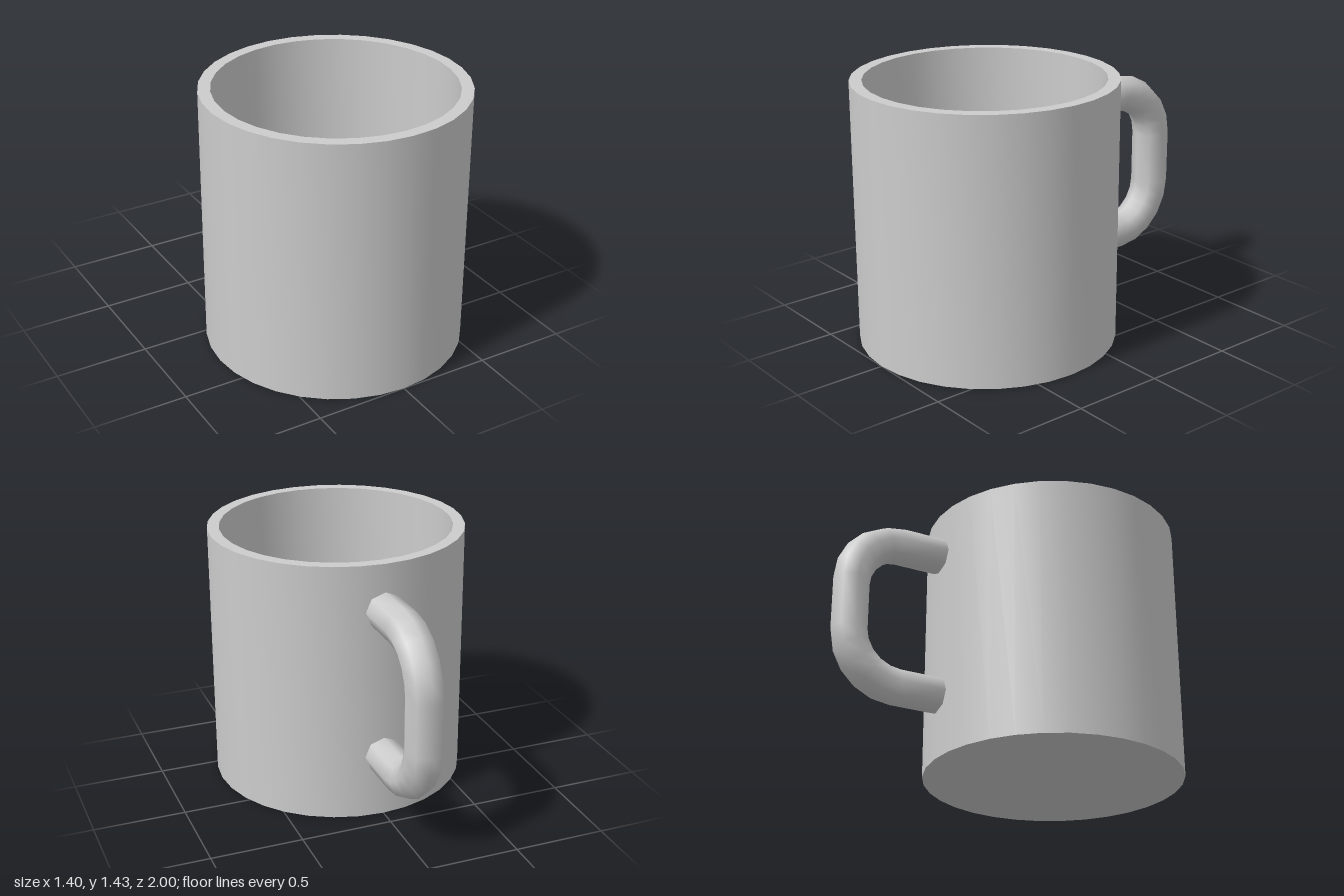
import * as THREE from 'three';
import { toCreasedNormals } from 'three/addons/utils/BufferGeometryUtils.js';

// Sweeps a round section along a path in the yz plane; each stop is [z, y, angle of travel].
function sweep(stops, radius, sides) {
  const pos = [], index = [];
  for (const [z, y, a] of stops) {
    for (let j = 0; j < sides; j++) {
      const t = (j / sides) * Math.PI * 2;
      const out = radius * Math.cos(t);
      pos.push(radius * Math.sin(t), y + out * Math.cos(a), z + out * Math.sin(a));
    }
  }
  for (let i = 0; i < stops.length - 1; i++) {
    for (let j = 0; j < sides; j++) {
      const k = (j + 1) % sides;
      const a = i * sides + j, b = i * sides + k, c = a + sides, d = b + sides;
      index.push(a, b, c, b, d, c);
    }
  }
  const g = new THREE.BufferGeometry();
  g.setAttribute('position', new THREE.Float32BufferAttribute(pos, 3));
  g.setIndex(index);
  g.computeVertexNormals();
  return g;
}

export function createModel() {
  const group = new THREE.Group();
  const ceramic = new THREE.MeshStandardMaterial({ color: 0xcccccc, side: THREE.DoubleSide });
  ceramic.name = 'grey ceramic';

  // Cup: base, outer wall, flat rim, inner wall and inner floor
  const profile = [[0, 0], [0.7, 0], [0.7, 1.435], [0.635, 1.435], [0.635, 0.07], [0, 0.07]]
    .map(([r, y]) => new THREE.Vector2(r, y));
  const cup = new THREE.Mesh(toCreasedNormals(new THREE.LatheGeometry(profile, 32), 0.6), ceramic);
  cup.name = 'cup';
  cup.position.z = 0.3;
  group.add(cup);

  // Handle: two level arms joined to an upright grip by rounded corners
  const top = 1.18, bottom = 0.355, back = -0.9, bend = 0.27, steps = 5;
  const stops = [[-0.335, top, 0]];
  for (const [cy, start] of [[top - bend, 0], [bottom + bend, Math.PI / 2]]) {
    for (let i = 0; i <= steps; i++) {
      const t = start + (i / steps) * Math.PI / 2;
      stops.push([back + bend - bend * Math.sin(t), cy + bend * Math.cos(t), -t]);
    }
  }
  stops.push([-0.335, bottom, -Math.PI]);
  const handle = new THREE.Mesh(sweep(stops, 0.102, 8), ceramic);
  handle.name = 'handle';
  group.add(handle);

  return group;
}
